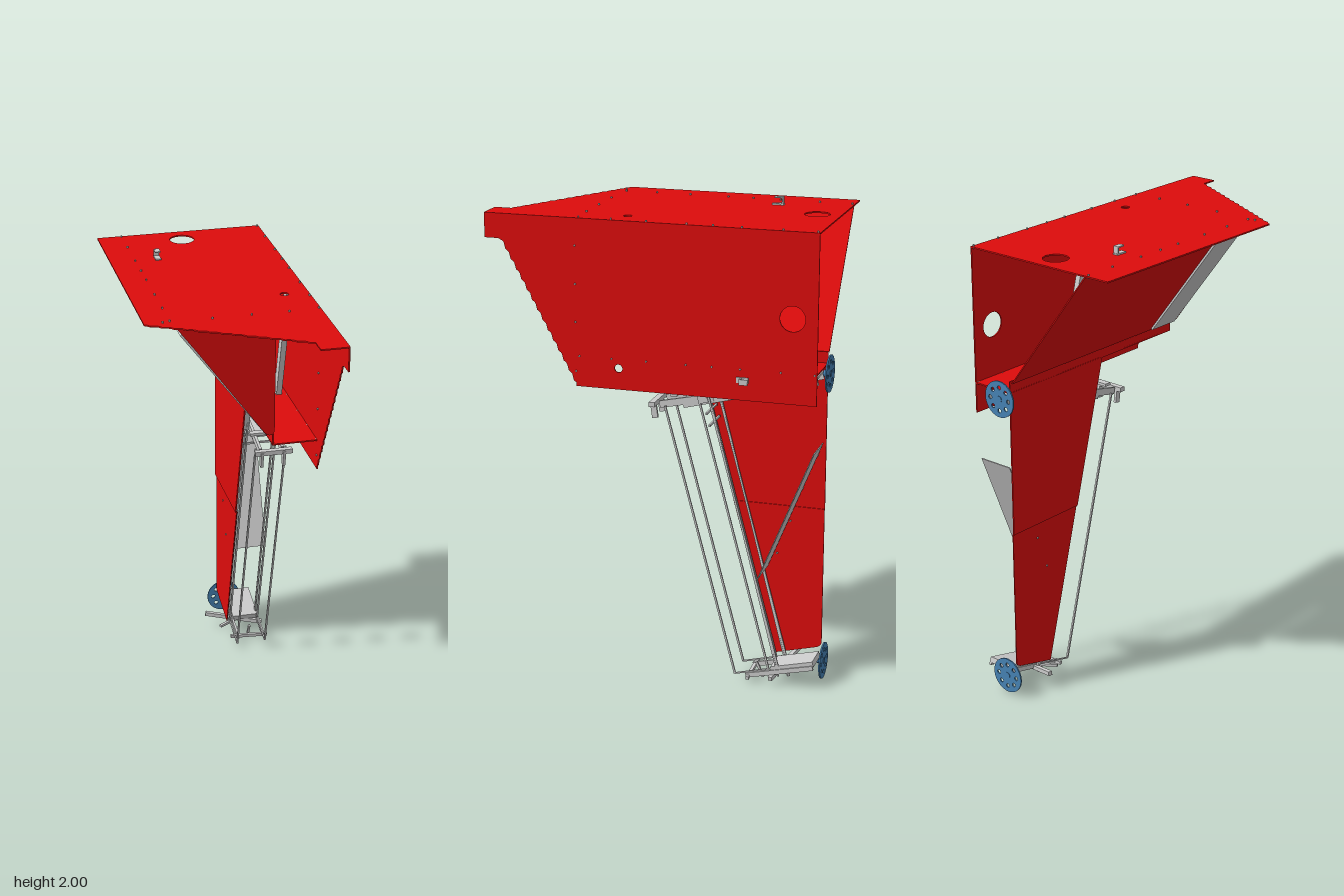
import * as THREE from 'three';

const RED = 0xdd0c0c, GREY = 0xcccccc, BLUE = 0x4682b4;
const mats = {};
const mat = (c) => (mats[c] ??= new THREE.MeshStandardMaterial({ color: c, side: THREE.DoubleSide }));

function add(parent, name, geo, color = GREY) {
  const m = new THREE.Mesh(geo, mat(color));
  m.name = name;
  parent.add(m);
  return m;
}

// Flat sheet from an outline, with round holes [u, v, r]
function sheet(points, holes, t) {
  const s = new THREE.Shape(points.map((p) => new THREE.Vector2(...p)));
  for (const [u, v, r] of holes) s.holes.push(new THREE.Path().absarc(u, v, r, 0, Math.PI * 2, true));
  return new THREE.ExtrudeGeometry(s, { depth: t, bevelEnabled: false, curveSegments: 20 });
}
const sideSheet = (pts, holes, x, t) => sheet(pts, holes, t).rotateY(-Math.PI / 2).translate(x, 0, 0); // outline in z, y
const flatSheet = (pts, holes, y, t) => sheet(pts, holes, t).rotateX(Math.PI / 2).translate(0, y, 0); // outline in x, z

// Bar of section w x h between two points
function bar(parent, name, a, b, w, h, color) {
  const p = new THREE.Vector3(...a), q = new THREE.Vector3(...b);
  const m = add(parent, name, new THREE.BoxGeometry(w, h, p.distanceTo(q)), color);
  m.position.copy(p).lerp(q, 0.5);
  m.lookAt(q);
  return m;
}

// Toothed edge between two points
function teeth([u0, v0], [u1, v1], n) {
  const out = [];
  const du = (u1 - u0) / n, dv = (v1 - v0) / n;
  for (let i = 0; i < n; i++) {
    const u = u0 + du * i, v = v0 + dv * i;
    out.push([u, v], [u + du * 0.5, v + dv * 0.2], [u + du * 0.8, v + dv * 0.85]);
  }
  out.push([u1, v1]);
  return out;
}

// Bolt pointing along an axis
function bolt(parent, x, y, z, axis) {
  const g = new THREE.CylinderGeometry(0.004, 0.004, 0.018, 6);
  if (axis === 'x') g.rotateZ(Math.PI / 2);
  add(parent, 'bolt', g.translate(x, y, z));
}

// Spoked disc wheel facing the back
function wheel(parent, x, y, z) {
  const holes = [];
  for (let i = 0; i < 8; i++) {
    const a = (i / 8) * Math.PI * 2;
    holes.push([Math.cos(a) * 0.05, Math.sin(a) * 0.05, 0.009]);
  }
  const rim = [];
  for (let i = 0; i < 40; i++) {
    const a = (i / 40) * Math.PI * 2;
    rim.push([Math.cos(a) * 0.078, Math.sin(a) * 0.078]);
  }
  add(parent, 'driveWheel', sheet(rim, holes, 0.006).translate(x, y, z - 0.003), BLUE);
  add(parent, 'wheelHub', new THREE.CylinderGeometry(0.014, 0.014, 0.03, 16).rotateX(Math.PI / 2).translate(x, y, z + 0.01), BLUE);
}

export function createModel() {
  const root = new THREE.Group();
  root.name = 'hopperConveyor';

  // Hopper: top, side, slanted, front and floor panels
  const hopper = new THREE.Group();
  hopper.name = 'hopper';
  root.add(hopper);
  add(hopper, 'topPanel', flatSheet(
    [[-0.38, -0.7], [0.343, -0.7], [0.343, 0.72], [0.225, 0.72], ...teeth([0.225, 0.645], [-0.38, 0.32], 14)],
    [[-0.025, -0.6, 0.053], [0.24, 0.13, 0.018]], 1.965, 0.006), RED);
  add(hopper, 'sidePanel', sideSheet(
    [[0.72, 1.96], [-0.7, 1.96], [-0.7, 1.255], [0.325, 1.255], ...teeth([0.325, 1.27], [0.64, 1.85], 14), [0.66, 1.86], [0.72, 1.86]],
    [[-0.595, 1.61, 0.053], [0.14, 1.345, 0.017]], 0.343, 0.006), RED);
  bar(hopper, 'slantedPanel', [-0.265, 1.96, -0.19], [0.135, 1.43, -0.19], 1.02, 0.005, RED);
  bar(hopper, 'slantedPatch', [-0.23, 1.905, 0.24], [0.125, 1.435, 0.24], 0.15, 0.012);
  add(hopper, 'frontPanel', sheet(
    [[-0.265, 1.96], [0.112, 1.445], [0.125, 1.433], [0.145, 1.433], [0.155, 1.447], [0.155, 1.96]], [], 0.005).translate(0, 0, 0.318), RED);
  add(hopper, 'floorPanel', flatSheet([[0.147, -0.7], [0.34, -0.7], [0.34, 0.32], [0.147, 0.32]], [], 1.388, 0.006), RED);
  bar(hopper, 'floorLip', [0.15, 1.41, -0.7], [0.15, 1.41, 0.32], 0.005, 0.05, RED);

  // Leg panel in two sheets
  add(root, 'upperLegPanel', sideSheet([[-0.7, 0.755], [-0.305, 0.755], [-0.135, 1.385], [-0.7, 1.385]], [], 0.152, 0.006), RED);
  add(root, 'lowerLegPanel', sideSheet(
    [[-0.7, 0.755], [-0.7, 0.15], [-0.694, 0.138], [-0.68, 0.13], [-0.488, 0.08], [-0.305, 0.755]], [], 0.156, 0.004), RED);

  // Guard plate behind the conveyor
  bar(root, 'guardPlate', [0.25, 1.05, -0.69], [0.25, 0.48, -0.46], 0.16, 0.004);

  // Conveyor: leaning rails and belt strands on both sides
  const lean = (x, z, y) => [x, y, z + 0.268 * (y - 1.25)];
  for (const x of [0.172, 0.305]) {
    for (const z of [-0.19, -0.235]) bar(root, 'rail', lean(x, z, 0.07), lean(x, z, 1.25), 0.008, 0.008);
    bar(root, 'upperRail', lean(x - 0.004, -0.21, 1.22), lean(x - 0.004, -0.21, 1.958), 0.024, 0.04);
    bar(root, 'beltStrand', lean(x, -0.033, 0.03), lean(x, -0.033, 1.19), 0.008, 0.008);
    bar(root, 'lowerBelt', [x, 0.03, -0.36], [x, 0.08, -0.55], 0.006, 0.006);
    bar(root, 'backStrand', [x, 0.04, -0.55], lean(x, -0.24, 1.2), 0.006, 0.006);
  }
  for (const y of [1.125, 1.175]) bar(root, 'crossTie', lean(0.165, -0.21, y), lean(0.315, -0.21, y), 0.008, 0.008);

  // Upper arm: tray, side flanges and a hooked end
  bar(root, 'upperTray', [0.235, 1.36, -0.69], [0.235, 1.215, -0.12], 0.1, 0.008);
  for (const x of [0.185, 0.283]) {
    bar(root, 'upperTrayFlange', [x, 1.345, -0.69], [x, 1.2, -0.12], 0.005, 0.035);
    bar(root, 'upperArm', [x, 1.24, -0.25], [x, 1.19, -0.02], 0.012, 0.03);
    bar(root, 'upperHook', [x, 1.2, 0.01], [x, 1.13, 0.0], 0.012, 0.025);
  }
  bar(root, 'upperRoller', [0.155, 1.195, 0.005], [0.32, 1.195, 0.005], 0.025, 0.02);
  bar(root, 'upperAxle', [0.155, 1.245, -0.09], [0.32, 1.245, -0.09], 0.03, 0.012);

  // Lower arm: tray, flanges and rollers
  bar(root, 'lowerTray', [0.25, 0.115, -0.7], [0.25, 0.07, -0.52], 0.12, 0.025);
  for (const x of [0.19, 0.31]) bar(root, 'lowerArm', [x, 0.1, -0.7], [x, 0.03, -0.41], 0.01, 0.02);
  bar(root, 'lowerRoller', [0.07, 0.08, -0.58], [0.33, 0.035, -0.52], 0.018, 0.018);
  bar(root, 'lowerAxle', [0.155, 0.035, -0.42], [0.33, 0.025, -0.42], 0.014, 0.014);
  bar(root, 'lowerBrace', [0.12, 0.06, -0.48], [0.32, 0.06, -0.6], 0.012, 0.012);
  bar(root, 'footPin', [0.25, 0.07, -0.44], [0.25, 0.005, -0.47], 0.01, 0.01);

  // Drive wheels at the back
  for (const y of [1.355, 0.088]) wheel(root, 0.19, y, -0.717);

  // Small latches on the top and side
  const topLatch = new THREE.Group();
  topLatch.name = 'topLatch';
  bar(topLatch, 'latchBase', [-0.177, 1.968, -0.42], [-0.177, 1.968, -0.37], 0.024, 0.006);
  bar(topLatch, 'latchTab', [-0.177, 1.965, -0.415], [-0.177, 2.0, -0.415], 0.024, 0.005);
  bar(topLatch, 'latchCap', [-0.177, 1.997, -0.415], [-0.177, 1.997, -0.38], 0.024, 0.005);
  root.add(topLatch);
  const sideLatch = new THREE.Group();
  sideLatch.name = 'sideLatch';
  bar(sideLatch, 'latchBase', [0.345, 1.34, -0.415], [0.345, 1.34, -0.365], 0.006, 0.024);
  bar(sideLatch, 'latchTab', [0.343, 1.34, -0.385], [0.377, 1.34, -0.385], 0.005, 0.024);
  bar(sideLatch, 'latchCap', [0.375, 1.34, -0.42], [0.375, 1.34, -0.385], 0.004, 0.024);
  root.add(sideLatch);

  // Bolt rows
  for (const z of [-0.69, -0.55, -0.38, -0.26, -0.15, 0.02, 0.17, 0.31]) {
    bolt(hopper, -0.275, 1.963, z, 'y');
    bolt(hopper, 0.335, 1.963, z, 'y');
    bolt(hopper, 0.34, 1.385, z, 'x');
  }
  for (const x of [-0.305, -0.105, 0.055, 0.21]) bolt(hopper, x, 1.963, 0.32, 'y');
  for (const y of [1.85, 1.69, 1.53, 1.32]) bolt(hopper, 0.34, y, 0.325, 'x');
  for (const [y, z] of [[0.99, -0.665], [0.84, -0.605], [0.69, -0.555], [0.54, -0.5]]) bolt(root, 0.156, y, z, 'x');

  return root;
}
